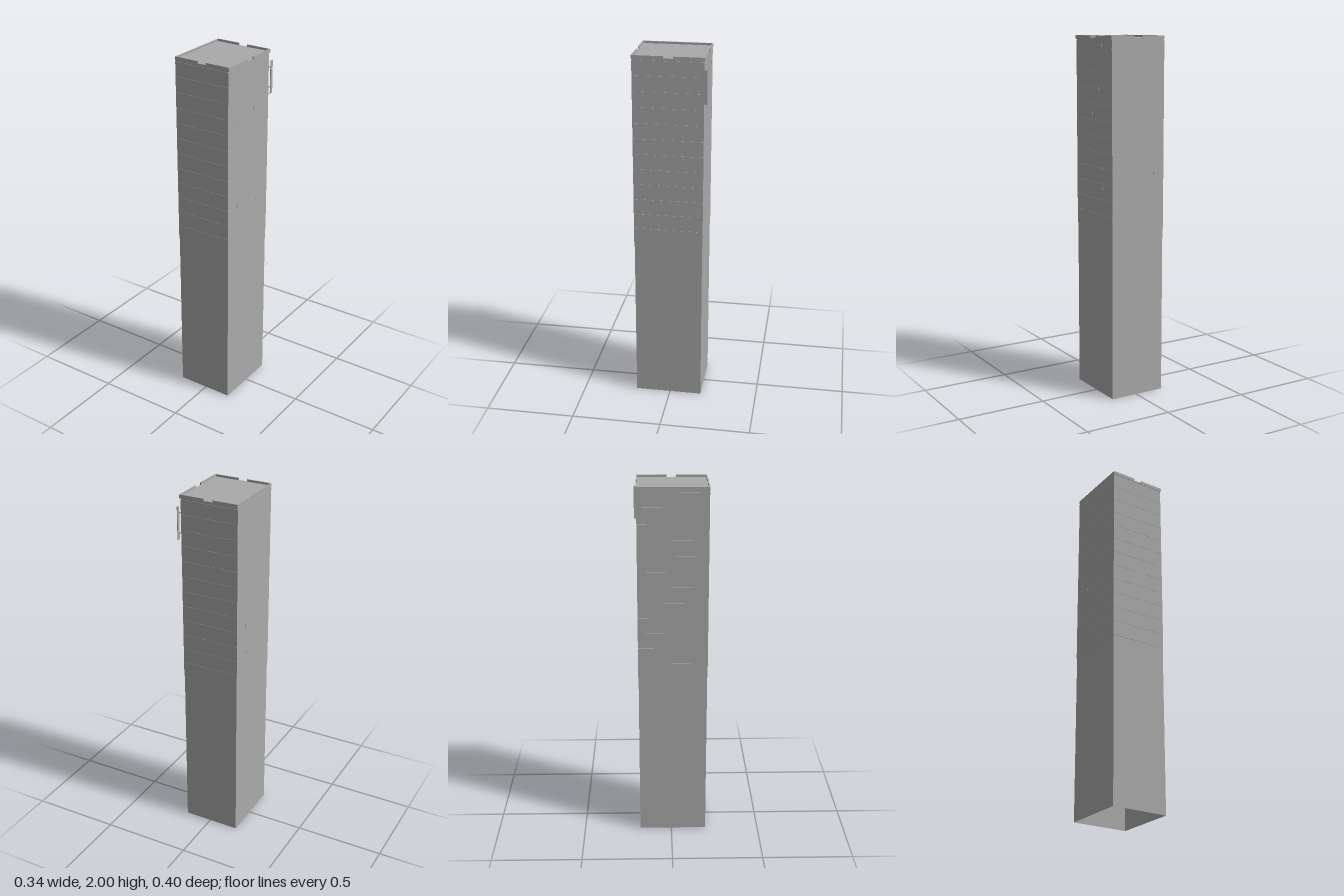
import * as THREE from 'three';

const concrete = new THREE.MeshStandardMaterial({ color: 0xaaaaaa, side: THREE.DoubleSide });
concrete.name = 'concrete grey';

// Body footprint and storey layout
const X0 = -0.17, X1 = 0.155, Z0 = -0.18, Z1 = 0.197;
const ROOF = 1.985, FIRST = 0.946, FLOOR = 0.0862, FLOORS = 12, SKIN = 0.002;

// Box given by its minimum and maximum corners
function block(parent, name, x0, x1, y0, y1, z0, z1) {
  const mesh = new THREE.Mesh(new THREE.BoxGeometry(x1 - x0, y1 - y0, z1 - z0), concrete);
  mesh.position.set((x0 + x1) / 2, (y0 + y1) / 2, (z0 + z1) / 2);
  mesh.name = name;
  parent.add(mesh);
  return mesh;
}

function group(parent, name) {
  const g = new THREE.Group();
  g.name = name;
  parent.add(g);
  return g;
}

export function createModel() {
  const tower = new THREE.Group();
  tower.name = 'tower';

  // Hollow shaft, open at the bottom
  const shaft = block(tower, 'shaft', X0, X1, 0, ROOF, Z0, Z1);
  const faces = Array.from(shaft.geometry.index.array);
  faces.splice(18, 6);
  shaft.geometry.setIndex(faces);
  shaft.geometry.clearGroups();

  // Thin storey panels around the upper half, with fine joints
  const cladding = group(tower, 'cladding');
  for (let i = 0; i < FLOORS; i++) {
    const y0 = FIRST + i * FLOOR;
    const y1 = Math.min(y0 + FLOOR - 0.0008, ROOF - 0.012);
    block(cladding, 'frontPanel', X0 - SKIN, X1 + SKIN, y0, y1, Z1, Z1 + SKIN);
    block(cladding, 'backPanel', X0 - SKIN, X1 + SKIN, y0, y1, Z0 - SKIN, Z0);
    block(cladding, 'leftPanel', X1, X1 + SKIN, y0, y1, Z0, Z1);
    block(cladding, 'rightPanel', X0 - SKIN, X0, y0, y1, Z0, Z1);
  }

  // Small upright slots scattered over the facades: [position, height]
  const slots = group(tower, 'facadeSlots');
  const W = 0.0015, H = 0.009, OUT = SKIN + 0.0006;
  for (const [z, y] of [[-0.075, 1.95], [-0.075, 1.44], [-0.07, 1.29], [-0.075, 1.18], [-0.1, 1.04],
    [0.11, 1.7], [-0.036, 1.72], [0.03, 1.58], [0.11, 1.48], [0.11, 1.2]]) {
    block(slots, 'leftSlot', X1, X1 + OUT, y - H, y + H, z - W, z + W);
  }
  for (const [x, y] of [[-0.11, 1.91], [0.036, 1.22], [-0.11, 1.256], [-0.11, 1.167]]) {
    block(slots, 'backSlot', x - W, x + W, y - H, y + H, Z0 - OUT, Z0);
  }
  for (const [z, y] of [[-0.07, 1.7], [-0.08, 1.34], [-0.08, 1.29], [-0.07, 1.125]]) {
    block(slots, 'rightSlot', X0 - OUT, X0, y - H, y + H, z - W, z + W);
  }

  // Roof slab and raised parapet, notched on three sides
  const PX0 = -0.171, PX1 = 0.163, PZ0 = -0.185, PZ1 = 0.2, T = 0.006;
  block(tower, 'roofSlab', PX0 + 0.001, PX1 - 0.002, 1.978, 1.988, PZ0 + 0.002, PZ1 - 0.001);
  const parapet = group(tower, 'parapet');
  for (const [a, b] of [[PX0, -0.03], [0.02, PX1]]) {
    block(parapet, 'frontParapet', a, b, 1.982, 2, PZ1 - T, PZ1);
    block(parapet, 'backParapet', a, b, 1.982, 2, PZ0, PZ0 + T);
  }
  for (const [a, b] of [[PZ0 + T, -0.02], [0.031, PZ1 - T]]) {
    block(parapet, 'leftParapet', PX1 - T, PX1, 1.982, 2, a, b);
  }
  block(parapet, 'rightParapet', PX0, PX0 + T, 1.982, 2, PZ0 + T, PZ1 - T);

  // Upright blade sign held off the back left corner
  const sign = group(tower, 'bladeSign');
  block(sign, 'signPanel', 0.166, 0.17, 1.757, 1.938, -0.2, -0.182);
  for (const y of [1.79, 1.9]) {
    block(sign, 'signBracket', X1, 0.167, y, y + 0.004, -0.185, -0.179);
  }
  return tower;
}
